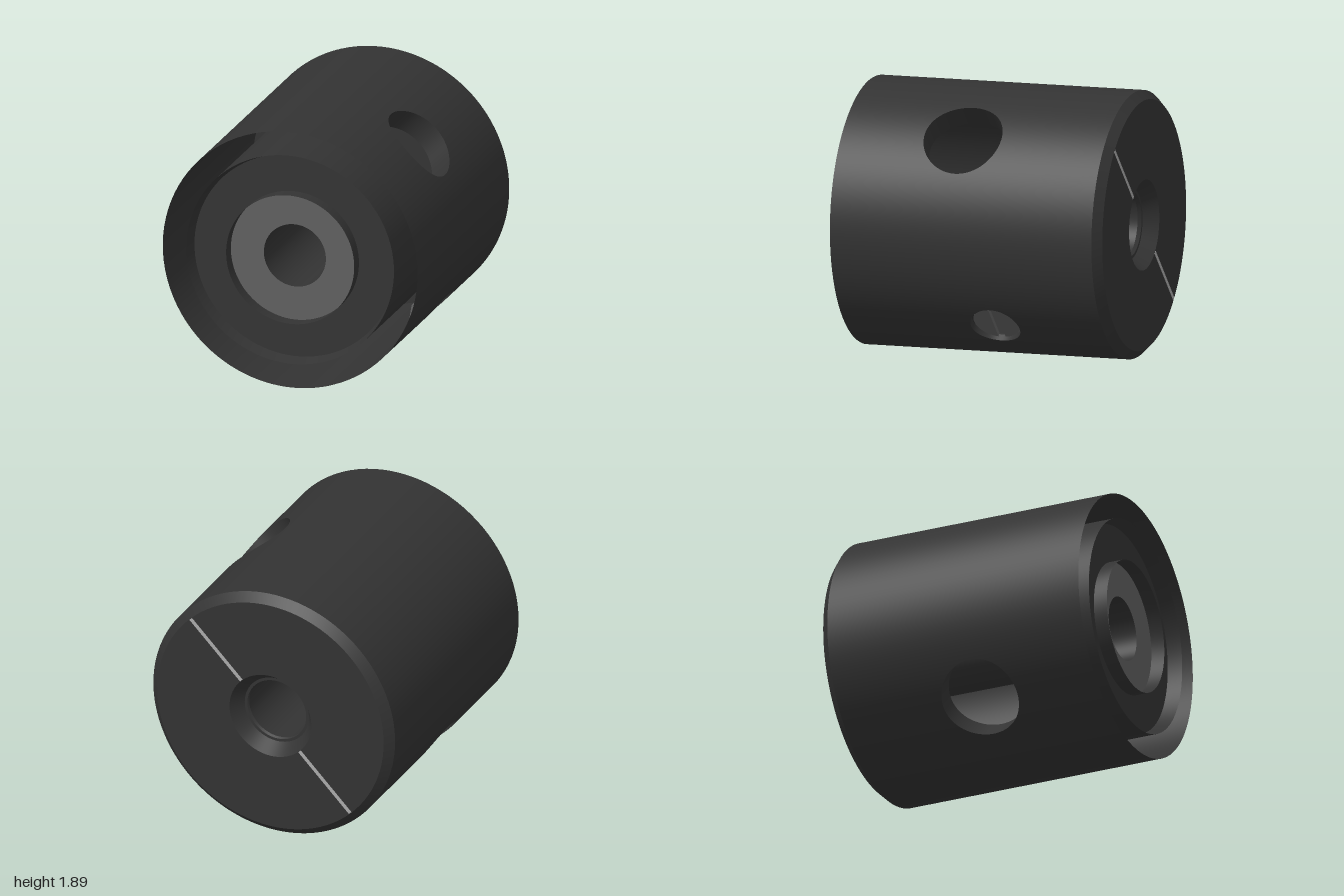
import * as THREE from 'three';
import { ParametricGeometry } from 'three/addons/geometries/ParametricGeometry.js';
import { toCreasedNormals } from 'three/addons/utils/BufferGeometryUtils.js';

const R = 0.945, CORE = 0.77, Z0 = -0.94, Z1 = 1, SPAN = 0.45;
const dark = new THREE.MeshStandardMaterial({ color: 0x333333, side: THREE.DoubleSide });
const steel = new THREE.MeshStandardMaterial({ color: 0x606060, side: THREE.DoubleSide });
const light = new THREE.MeshStandardMaterial({ color: 0xaaaaaa });

// radial holes: angle round the axis, z centre, radius, radial distance of the lining's bottom
const holes = [
  { name: 'screwHole', a: -Math.PI / 4, z: -0.13, r: 0.18, floor: 0.895 },
  { name: 'upperHole', a: Math.PI / 4, z: 0.11, r: 0.285, floor: CORE },
  { name: 'lowerHole', a: Math.PI * 5 / 4, z: 0.11, r: 0.285, floor: CORE },
];

function add(group, name, geometry, material) {
  const mesh = new THREE.Mesh(geometry, material);
  mesh.name = name;
  group.add(mesh);
  return mesh;
}

const onCylinder = (target, radius, angle, z) =>
  target.set(radius * Math.cos(angle), radius * Math.sin(angle), z);

// plain stretch of a round wall between two angles
function plainWall(radius, z0, a0, a1) {
  return new ParametricGeometry((u, v, p) =>
    onCylinder(p, radius, a0 + (a1 - a0) * u, z0 + (Z1 - z0) * v), 32, 2);
}

// stretch of wall that spreads from a round hole out to its rectangular border
function holedWall(radius, z0, h) {
  return new ParametricGeometry((u, v, p) => {
    const t = v * Math.PI * 2, c = Math.cos(t), s = Math.sin(t);
    const m = Math.max(Math.abs(c), Math.abs(s));
    const inA = h.a + Math.asin(h.r * c / radius), inZ = h.z + h.r * s;
    const outA = h.a + SPAN * c / m;
    const outZ = h.z + (s / m) * (s > 0 ? Z1 - h.z : h.z - z0);
    onCylinder(p, radius, inA + (outA - inA) * u, inZ + (outZ - inZ) * u);
  }, 10, 64);
}

// whole round wall with the radial holes cut through it
function makeTube(name, radius, z0) {
  const tube = new THREE.Group();
  tube.name = name;
  holes.forEach((h, i) => {
    const next = holes[(i + 1) % holes.length].a + (i === holes.length - 1 ? Math.PI * 2 : 0);
    add(tube, h.name + 'Wall', holedWall(radius, z0, h), dark);
    add(tube, 'plainWall', plainWall(radius, z0, h.a + SPAN, next - SPAN), dark);
  });
  return tube;
}

// side wall of a hole, running from the skin inwards
function holeLining(h) {
  return new ParametricGeometry((u, v, p) => {
    const t = u * Math.PI * 2, radius = R + (h.floor - R) * v;
    onCylinder(p, radius, h.a + Math.asin(h.r * Math.cos(t) / radius), h.z + h.r * Math.sin(t));
  }, 64, 2);
}

// turned part about the z axis, from [radius, z] points
function turned(points) {
  const g = new THREE.LatheGeometry(points.map(([r, z]) => new THREE.Vector2(r, z)), 96);
  g.rotateX(Math.PI / 2);
  return toCreasedNormals(g, 0.5);
}

// slotted countersunk screw with its head facing local +z
function makeScrew(r) {
  const screw = new THREE.Group();
  screw.name = 'setScrew';
  const cone = new THREE.CylinderGeometry(r, 0.092, 0.06, 32);
  cone.rotateX(Math.PI / 2);
  add(screw, 'screwCone', cone, steel).position.z = -0.03;
  const start = Math.asin(0.027 / r);
  const half = new THREE.Shape();
  half.absarc(0, 0, r, start, Math.PI - start, false);
  half.closePath();
  for (const turn of [0, Math.PI]) {
    const g = new THREE.ExtrudeGeometry(half, { depth: 0.03, bevelEnabled: false, curveSegments: 24 });
    add(screw, 'screwHeadHalf', toCreasedNormals(g, 0.5), steel).rotation.z = turn;
  }
  return screw;
}

export function createModel() {
  const model = new THREE.Group();
  const body = new THREE.Group();
  body.name = 'coupling';
  body.position.y = R;
  model.add(body);

  // outer sleeve and hollow core, with a gap between them that is open at the front
  body.add(makeTube('sleeve', R, Z0), makeTube('core', CORE, -0.9));
  for (const h of holes) add(body, h.name + 'Lining', holeLining(h), dark);

  // chamfered back plate with a countersunk bore
  add(body, 'backPlate', turned([
    [0.23, -0.87], [0.32, -1], [0.885, -1], [R, Z0], [R - 0.002, -0.9], [0.23, -0.9],
  ]), dark);

  // recessed front face with a thin collar, washer and through bore
  add(body, 'frontFace', turned([[CORE, 1], [0.745, 0.9], [0.475, 0.9]]), dark);
  add(body, 'collar', turned([[0.475, 0.9], [0.475, 1]]), dark);
  add(body, 'washer', new THREE.RingGeometry(0.23, 0.475, 96), steel).position.z = 0.9;
  add(body, 'bore', turned([[0.235, 0.9], [0.23, -0.87]]), dark);

  // thin split line across the back, either side of the bore
  for (const side of [1, -1]) {
    const strip = add(body, 'splitLine', new THREE.BoxGeometry(0.56, 0.028, 0.01), light);
    const d = side * 0.602 * Math.SQRT1_2;
    strip.position.set(d, d, -0.996);
    strip.rotation.z = Math.PI / 4;
  }

  // set screw, its head just below the skin
  const h = holes[0], c = Math.cos(h.a), s = Math.sin(h.a);
  const screw = makeScrew(0.167);
  screw.quaternion.setFromRotationMatrix(new THREE.Matrix4().makeBasis(
    new THREE.Vector3(-s, c, 0), new THREE.Vector3(0, 0, 1), new THREE.Vector3(c, s, 0)));
  screw.position.set(0.875 * c, 0.875 * s, h.z);
  body.add(screw);

  return model;
}
